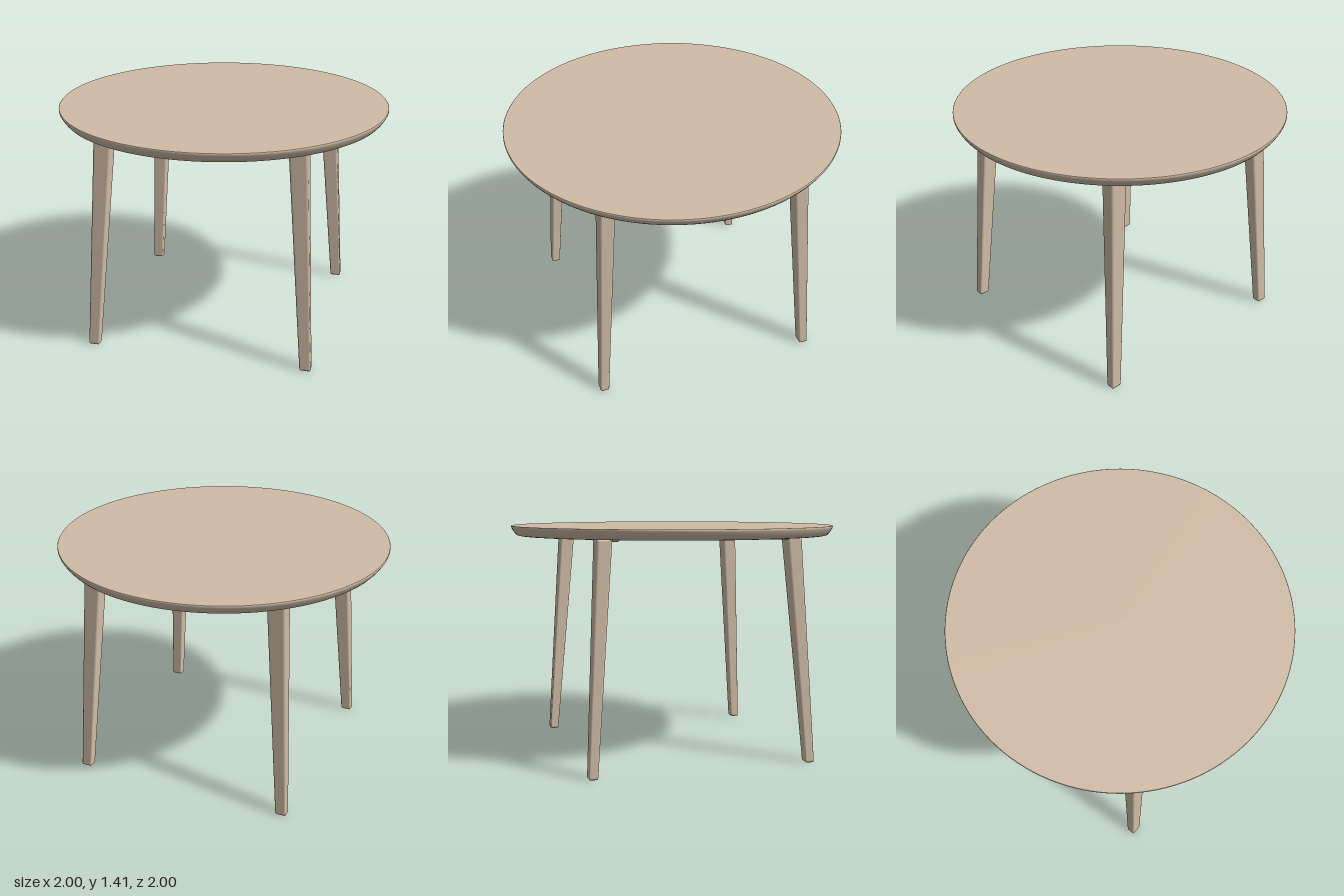
import * as THREE from 'three';
import { RoundedBoxGeometry } from 'three/addons/geometries/RoundedBoxGeometry.js';

const wood = new THREE.MeshStandardMaterial({ color: 0xd0bca6 });
wood.name = 'pale wood';

const UNDERSIDE = 1.35;
const LEG_TOP = 1.352;

function part(name, geometry) {
  const mesh = new THREE.Mesh(geometry, wood);
  mesh.name = name;
  return mesh;
}

// Round top with an undercut rim; doubled points keep an edge sharp
function tableTop() {
  const profile = [
    [0, UNDERSIDE], [0.955, UNDERSIDE], [0.967, 1.353], [0.98, 1.367],
    [0.99, 1.381], [0.998, 1.395], [1, 1.402], [1, 1.408],
    [0.998, 1.41], [0.998, 1.41], [0, 1.41],
  ].map(([r, y]) => new THREE.Vector2(r, y));
  return part('tableTop', new THREE.LatheGeometry(profile, 128));
}

// Rounded post that tapers downwards and splays outwards
function leg(name, sx, sz) {
  const topW = 0.11, topD = 0.09;
  const geometry = new RoundedBoxGeometry(topW, LEG_TOP, topD, 4, 0.015);
  const p = geometry.attributes.position;
  const { lerp } = THREE.MathUtils;
  for (let i = 0; i < p.count; i++) {
    const y = p.getY(i) + LEG_TOP / 2;
    const t = y / LEG_TOP;
    const x = p.getX(i) * lerp(0.066 / topW, 1, t) + sx * lerp(0.658, 0.566, t);
    const z = p.getZ(i) * lerp(0.054 / topD, 1, t) + sz * lerp(0.663, 0.57, t);
    p.setXYZ(i, x, y, z);
  }
  return part(name, geometry);
}

// Small mounting plate under the top, reaching inwards from the leg
function plate(name, sx, sz) {
  const mesh = part(name, new RoundedBoxGeometry(0.125, 0.03, 0.125, 3, 0.006));
  mesh.position.set(sx * 0.544, UNDERSIDE - 0.001, sz * 0.549);
  return mesh;
}

export function createModel() {
  const table = new THREE.Group();
  table.name = 'roundTable';
  table.add(tableTop());
  for (const [sx, side] of [[1, 'Left'], [-1, 'Right']]) {
    for (const [sz, end] of [[1, 'front'], [-1, 'back']]) {
      table.add(leg(`${end}${side}Leg`, sx, sz), plate(`${end}${side}Plate`, sx, sz));
    }
  }
  return table;
}
